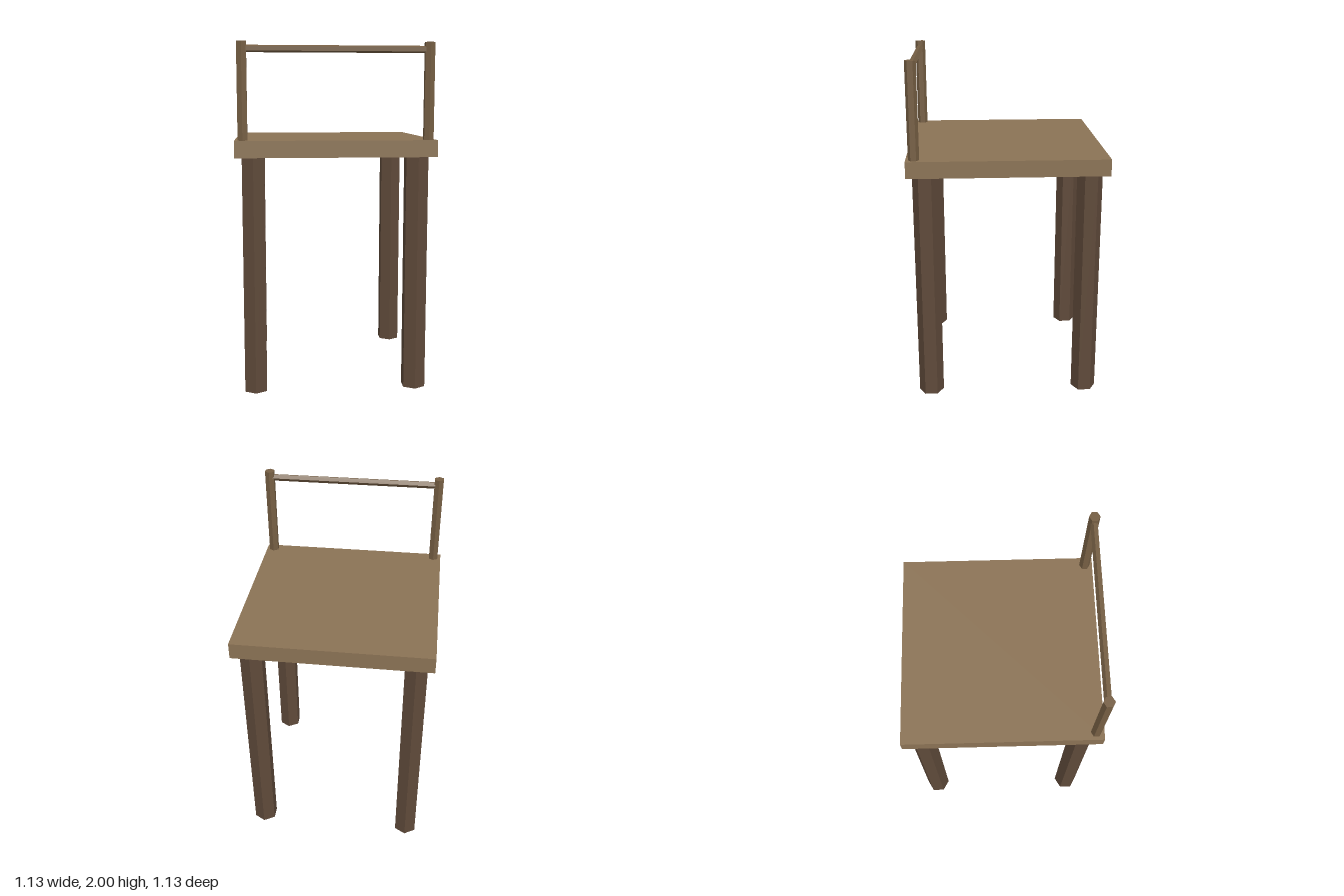
import * as THREE from 'three';

export function createModel() {
  const model = new THREE.Group();
  const material = (color) => new THREE.MeshStandardMaterial({ color, flatShading: true });
  const seatWood = material(0x8b7355);
  const legWood = material(0x5f4a3a);
  const backWood = material(0x765f44);

  const add = (name, geometry, mat, x, y, z) => {
    const mesh = new THREE.Mesh(geometry, mat);
    mesh.name = name;
    mesh.position.set(x, y, z);
    model.add(mesh);
    return mesh;
  };

  // Square seat slab
  const seatBottom = 1.365, seatTop = 1.46;
  add('seat', new THREE.BoxGeometry(1.134, seatTop - seatBottom, 1.134), seatWood,
    0, (seatBottom + seatTop) / 2, 0);

  // Four hexagonal legs and two slim hexagonal posts
  const legGeometry = new THREE.CylinderGeometry(0.073, 0.073, seatBottom, 6);
  const postGeometry = new THREE.CylinderGeometry(0.031, 0.031, 2 - seatTop, 6);
  for (const [side, x] of [['left', 1], ['right', -1]]) {
    add(side + 'FrontLeg', legGeometry, legWood, x * 0.465, seatBottom / 2, 0.465);
    add(side + 'BackLeg', legGeometry, legWood, x * 0.465, seatBottom / 2, -0.465);
    add(side + 'Post', postGeometry, backWood, x * 0.521, (seatTop + 2) / 2, 0.521);
  }

  // Five-sided rail between the posts, one edge pointing to -z
  const railGeometry = new THREE.CylinderGeometry(0.021, 0.021, 1.04, 5, 1, false, Math.PI);
  railGeometry.rotateZ(Math.PI / 2);
  add('rail', railGeometry, backWood, 0, 1.96, 0.521);

  return model;
}
